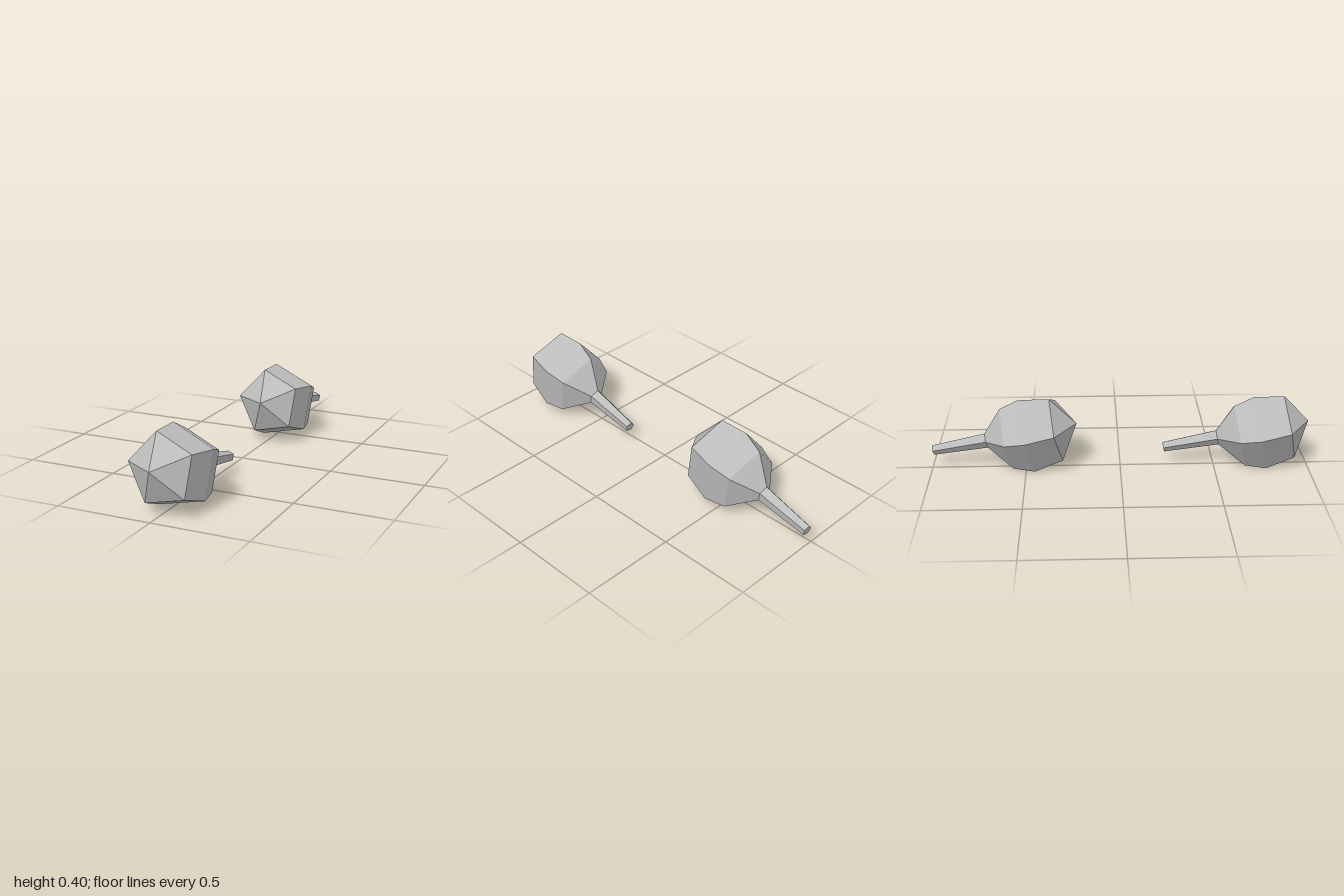
import * as THREE from 'three';

// Two identical low-poly shakers lying in line, each tilted so its handle dips.
export function createModel() {
  const model = new THREE.Group();
  const grey = new THREE.MeshStandardMaterial({ color: 0xbcbcbc, flatShading: true });
  grey.name = 'light grey';

  const SIDES = 5;
  const START = THREE.MathUtils.degToRad(193); // roll of the pentagon

  // Revolve [radius, distance behind the nose] pairs, listed tail to nose
  function revolve(name, profile) {
    const points = profile.map(([r, d]) => new THREE.Vector2(r, -d));
    const geometry = new THREE.LatheGeometry(points, SIDES, START);
    geometry.rotateX(Math.PI / 2); // nose towards +z
    const mesh = new THREE.Mesh(geometry, grey);
    mesh.name = name;
    return mesh;
  }

  function createShaker(name, noseZ) {
    const shaker = new THREE.Group();
    shaker.name = name;
    shaker.add(
      // Bulb: neck, shoulder, widest ring, front ring, pointed nose
      revolve('bulb', [[0.042, 0.49], [0.177, 0.373], [0.212, 0.264], [0.181, 0.107], [0, 0]]),
      // Tapered handle with a closed end
      revolve('handle', [[0, 0.783], [0.028, 0.783], [0.042, 0.49]])
    );
    shaker.rotation.set(-0.2, -0.045, 0, 'YXZ');
    shaker.position.set(0, 0.244, noseZ);
    return shaker;
  }

  model.add(createShaker('frontShaker', 1), createShaker('backShaker', -0.23));
  return model;
}
